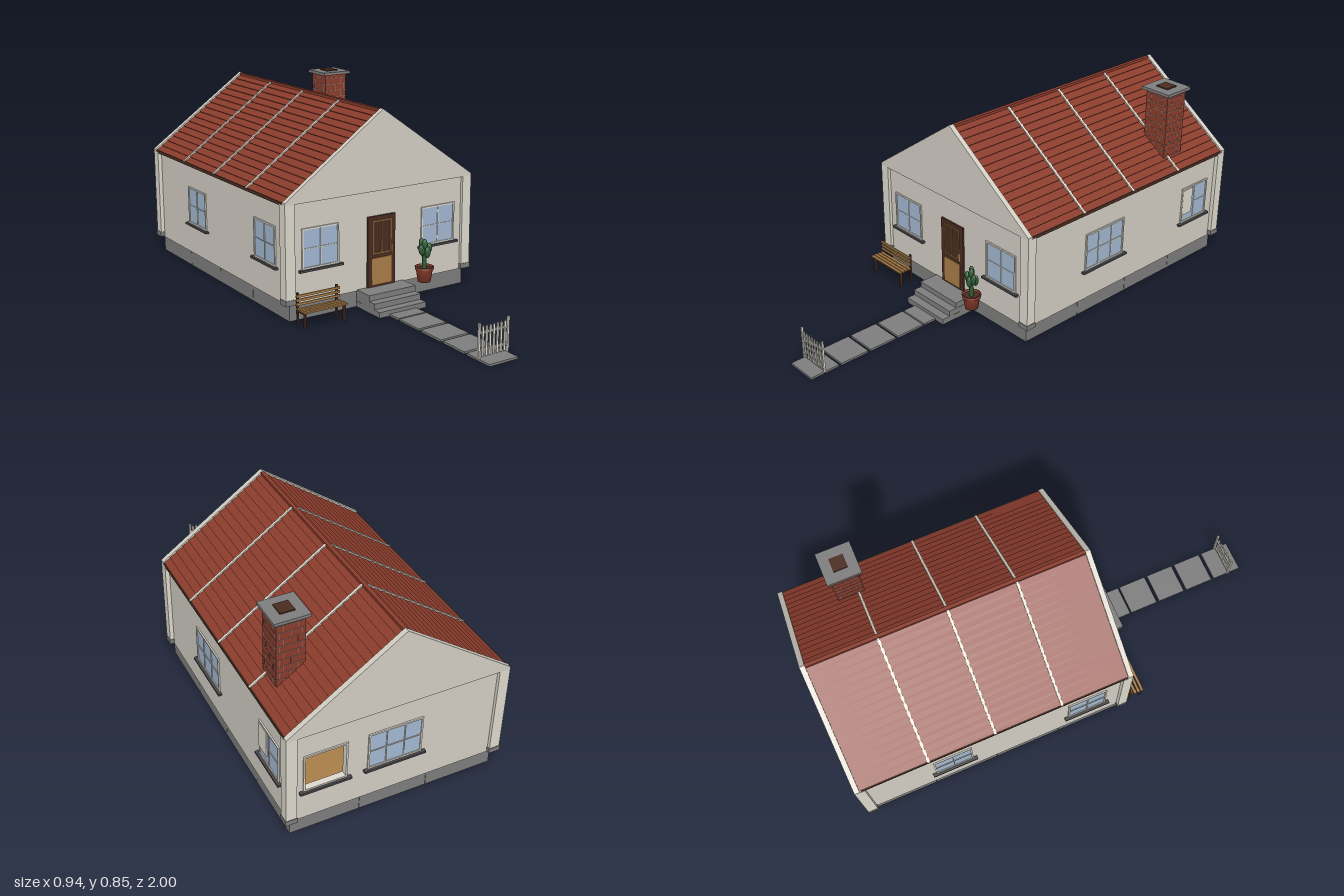
import * as THREE from 'three';

const material = (name, color, extra = {}) => Object.assign(new THREE.MeshStandardMaterial({ color, ...extra }), { name });
const M = {
  plaster: material('plaster', 0xd3cec4),
  white: material('white trim', 0xddd9cd),
  red: material('red clay', 0x8a3c2c),
  grey: material('grey stone', 0x7d7d7d),
  dark: material('dark slate', 0x47474a),
  brown: material('dark wood', 0x4a2c20),
  tan: material('light wood', 0xa87d48),
  glass: material('glass', 0xa3b8d2),
  green: material('cactus green', 0x2f5d35),
};
const ZC = -0.387; // centre of the house along z

function add(parent, name, geometry, mat, x = 0, y = 0, z = 0) {
  const m = new THREE.Mesh(geometry, mat);
  m.name = name;
  m.position.set(x, y, z);
  parent.add(m);
  return m;
}
// Box given by its min and max on every axis
function box(parent, name, mat, x0, x1, y0, y1, z0, z1) {
  return add(parent, name, new THREE.BoxGeometry(x1 - x0, y1 - y0, z1 - z0), mat,
    (x0 + x1) / 2, (y0 + y1) / 2, (z0 + z1) / 2);
}
function group(parent, name, x = 0, y = 0, z = 0) {
  const g = new THREE.Group();
  g.name = name;
  g.position.set(x, y, z);
  parent.add(g);
  return g;
}

// Window on the outer face z = 0 of a wall
function addWindow(parent, u0, u1, cols, open) {
  const g = group(parent, open ? 'openWindow' : 'window');
  const y0 = 0.21, y1 = 0.38, f = 0.007;
  for (const [a, b] of [[u0, u0 + f], [u1 - f, u1]]) box(g, 'frameSide', M.white, a, b, y0, y1, -0.02, 0.006);
  for (const [a, b] of [[y0, y0 + f], [y1 - f, y1]]) box(g, 'frameRail', M.white, u0, u1, a, b, -0.02, 0.006);
  box(g, 'sill', M.dark, u0 - 0.016, u1 + 0.016, y0 - 0.009, y0, -0.005, 0.016);
  if (open) return;
  box(g, 'pane', M.glass, u0 + f, u1 - f, y0 + f, y1 - f, -0.005, 0.002);
  for (let i = 1; i < cols; i++) {
    const u = u0 + (u1 - u0) * i / cols;
    box(g, 'mullion', M.white, u - 0.002, u + 0.002, y0 + f, y1 - f, 0, 0.005);
  }
  box(g, 'crossBar', M.white, u0 + f, u1 - f, 0.2935, 0.2965, 0, 0.005);
}

// Wall facing local +z, with windows as [from, to, columns, open]
function addWall(parent, name, half, x, z, turn, windows) {
  const g = group(parent, name, x, 0, z);
  g.rotation.y = turn;
  const s = new THREE.Shape([[-half, 0.07], [half, 0.07], [half, 0.49], [-half, 0.49]].map(p => new THREE.Vector2(...p)));
  for (const [a, b, , open] of windows) {
    if (open) s.holes.push(new THREE.Path([[a, 0.21], [a, 0.38], [b, 0.38], [b, 0.21]].map(p => new THREE.Vector2(...p))));
  }
  add(g, 'wallPanel', new THREE.ExtrudeGeometry(s, { depth: 0.018, bevelEnabled: false }), M.plaster, 0, 0, -0.018);
  for (const w of windows) addWindow(g, ...w);
  return g;
}

function addDoor(parent) {
  const g = group(parent, 'frontDoor', 0, 0, 0.21);
  box(g, 'doorLeaf', M.brown, -0.069, 0.069, 0.075, 0.38, -0.01, 0.008);
  box(g, 'lowerPanel', M.tan, -0.049, 0.049, 0.085, 0.2, 0.006, 0.011);
  for (const x of [-0.044, 0, 0.044]) box(g, 'panelStile', M.tan, x - 0.002, x + 0.002, 0.22, 0.36, 0.006, 0.012);
  for (const y of [0.221, 0.359]) box(g, 'panelRail', M.tan, -0.046, 0.046, y - 0.002, y + 0.002, 0.006, 0.012);
  box(g, 'handle', M.tan, 0.044, 0.052, 0.215, 0.252, 0.006, 0.018);
}

function addRoof(parent) {
  const g = group(parent, 'roof');
  const W = 0.46, top = 0.815, eave = 0.49, n = 16;
  const tilt = Math.atan2(top - eave, W), nx = Math.sin(tilt), ny = Math.cos(tilt);
  // Stepped tile courses from ridge to eave
  const right = [];
  for (let i = 0; i < n; i++) {
    for (const [t, lift] of [[i / n, 0], [(i + 1) / n, 0.004]]) {
      right.push(new THREE.Vector2(W * t + nx * lift, top + (eave - top) * t + ny * lift));
    }
  }
  right.push(new THREE.Vector2(W, 0.484));
  const left = right.slice(1).map(p => new THREE.Vector2(-p.x, p.y));
  const shape = new THREE.Shape([...left.reverse(), ...right]);
  add(g, 'tiles', new THREE.ExtrudeGeometry(shape, { depth: 1.18, bevelEnabled: false }), M.red, 0, 0, -0.977);
  box(g, 'ridgeCap', M.red, -0.008, 0.008, 0.805, 0.822, -0.977, 0.203);
  const len = Math.hypot(W, top - eave);
  for (const s of [-1, 1]) {
    box(g, 'eaveBoard', M.brown, s * 0.454 - 0.009, s * 0.454 + 0.009, 0.482, 0.496, -0.97, 0.2);
    for (const z of [-0.095, -0.39, -0.68]) {
      const strip = add(g, 'roofStrip', new THREE.BoxGeometry(len, 0.008, 0.011), M.white,
        s * (W / 2 + nx * 0.003), (top + eave) / 2 + ny * 0.003, z);
      strip.rotation.z = -s * tilt;
    }
  }
  // Gable plates standing just above the tiles
  const gable = new THREE.Shape([[-0.465, 0.488], [0.465, 0.488], [0.465, 0.498], [0, 0.825], [-0.465, 0.498]]
    .map(p => new THREE.Vector2(...p)));
  for (const z of [0.202, -0.998]) {
    add(g, 'gable', new THREE.ExtrudeGeometry(gable, { depth: 0.022, bevelEnabled: false }), M.plaster, 0, 0, z);
  }
}

function addChimney(parent) {
  const g = group(parent, 'chimney', 0.337, 0, -0.712), h = 0.058;
  box(g, 'stack', M.red, -h, h, 0.5, 0.827, -h, h);
  const e = h + 0.001;
  for (let i = 0; i < 11; i++) {
    const y = 0.51 + i * 0.03;
    box(g, 'mortarCourse', M.grey, -e, e, y - 0.001, y + 0.001, -e, e);
    if (i === 10) break;
    // Staggered upright joints, running through to opposite faces
    for (const u of i % 2 ? [-0.029, 0.029] : [-0.044, 0, 0.044]) {
      box(g, 'mortarJoint', M.grey, u - 0.0007, u + 0.0007, y, y + 0.03, -e + 0.0005, e - 0.0005);
      box(g, 'mortarJoint', M.grey, -e + 0.0005, e - 0.0005, y, y + 0.03, u - 0.0007, u + 0.0007);
    }
  }
  box(g, 'cap', M.grey, -0.073, 0.073, 0.827, 0.84, -0.073, 0.073);
  box(g, 'flue', M.brown, -0.03, 0.03, 0.838, 0.845, -0.03, 0.03);
}

function addBench(parent) {
  const g = group(parent, 'bench', -0.338, 0, 0.285);
  for (const x of [-0.092, 0.092]) {
    box(g, 'frontLeg', M.brown, x - 0.004, x + 0.004, 0, 0.067, 0.018, 0.03);
    box(g, 'backLeg', M.brown, x - 0.004, x + 0.004, 0, 0.136, -0.036, -0.028);
    box(g, 'seatBearer', M.brown, x - 0.004, x + 0.004, 0.058, 0.067, -0.03, 0.03);
  }
  for (let i = 0; i < 4; i++) {
    const z = -0.02 + i * 0.0165;
    box(g, 'seatSlat', M.tan, -0.103, 0.103, 0.067, 0.073, z - 0.006, z + 0.006);
    if (i < 3) box(g, 'backSlat', M.tan, -0.103, 0.103, 0.084 + i * 0.017, 0.094 + i * 0.017, -0.028, -0.022);
  }
}

function addPlant(parent) {
  const g = group(parent, 'pottedCactus', 0.183, 0, 0.272);
  const profile = [[0, 0.075], [0.028, 0.075], [0.036, 0.128], [0.04, 0.128], [0.041, 0.14], [0.035, 0.14], [0.033, 0.13]];
  add(g, 'pot', new THREE.LatheGeometry(profile.map(p => new THREE.Vector2(...p)), 16), M.red);
  add(g, 'soil', new THREE.CylinderGeometry(0.034, 0.034, 0.004, 16), M.brown, 0, 0.131, 0);
  add(g, 'stem', new THREE.CylinderGeometry(0.009, 0.01, 0.09, 8), M.green, 0, 0.176, 0);
  const pads = [[0, 0.235, 0, 0], [-0.019, 0.215, 0.004, 0.2], [0.019, 0.218, 0.006, -0.2], [0.004, 0.205, 0.016, 0],
    [-0.008, 0.24, -0.01, 0.15], [0.008, 0.2, -0.017, -0.1]];
  for (const [x, y, z, tilt] of pads) {
    const pad = add(g, 'cactusPad', new THREE.SphereGeometry(0.025, 10, 8), M.green, x, y, z);
    pad.scale.set(0.52, 1, 0.45);
    pad.rotation.z = tilt;
  }
}

function addGate(parent) {
  const g = group(parent, 'gardenGate', 0, 0, 0.938);
  for (const x of [-0.069, 0.069]) box(g, 'gatePost', M.white, x - 0.004, x + 0.004, 0.008, 0.149, -0.004, 0.004);
  for (const y of [0.04, 0.108]) box(g, 'gateRail', M.white, -0.069, 0.069, y - 0.005, y + 0.005, -0.005, 0);
  const picket = new THREE.ExtrudeGeometry(new THREE.Shape([[-0.0045, 0.016], [0.0045, 0.016], [0.0045, 0.13], [0, 0.138], [-0.0045, 0.13]]
    .map(p => new THREE.Vector2(...p))), { depth: 0.004, bevelEnabled: false });
  for (let i = -3; i <= 3; i++) add(g, 'picket', picket, M.white, i * 0.0175, 0, 0);
}

export function createModel() {
  const model = new THREE.Group();
  model.name = 'cottage';

  // Foundation blocks, floor and ceiling
  const base = group(model, 'foundation');
  const xs = [-0.44, -0.146, 0.146, 0.44], zs = [-0.975, -0.68, -0.39, -0.095, 0.205];
  for (let i = 0; i < 3; i++) for (let j = 0; j < 4; j++) {
    box(base, 'foundationBlock', M.grey, xs[i] + 0.0008, xs[i + 1] - 0.0008, 0, 0.075, zs[j] + 0.0008, zs[j + 1] - 0.0008);
  }
  box(model, 'floor', M.tan, -0.43, 0.43, 0.07, 0.079, -0.965, 0.195);
  box(model, 'ceiling', M.plaster, -0.43, 0.43, 0.476, 0.483, -0.965, 0.195);

  // Walls; u runs to the right as seen from outside
  const house = group(model, 'walls');
  addWall(house, 'frontWall', 0.445, 0, 0.21, 0, [[-0.383, -0.208, 2], [0.208, 0.383, 2]]);
  addWall(house, 'backWall', 0.445, 0, -0.983, Math.PI, [[-0.39, -0.21, 2, true], [-0.125, 0.105, 3]]);
  addWall(house, 'sideWall', 0.596, 0.447, ZC, Math.PI / 2, [[-0.265, -0.035, 3], [0.35, 0.52, 2]]);
  addWall(house, 'sideWall', 0.596, -0.447, ZC, -Math.PI / 2, [[-0.28, -0.11, 2], [0.33, 0.505, 2]]);
  box(house, 'wallCabinet', M.white, 0.37, 0.454, 0.25, 0.37, -0.805, -0.74);

  // Corner pilasters on stone feet
  for (const x of [-1, 1]) for (const z of [-1, 1]) {
    const c = group(house, 'cornerPilaster', x * 0.4425, 0, ZC + z * 0.589);
    box(c, 'shaft', M.white, -0.0225, 0.0225, 0.09, 0.488, -0.0215, 0.0215);
    box(c, 'foot', M.grey, -0.025, 0.025, 0.074, 0.096, -0.024, 0.024);
  }
  addDoor(model);
  addRoof(model);
  addChimney(model);

  // Front steps and garden path
  const steps = group(model, 'frontSteps');
  [[0.075, 0.3], [0.05, 0.337], [0.025, 0.374]].forEach(([h, z], i) =>
    box(steps, 'step', M.grey, -0.117, 0.117, h - 0.0245, h, 0.203, z));
  const path = group(model, 'gardenPath');
  for (const [a, b] of [[0.374, 0.435], [0.442, 0.572], [0.585, 0.712], [0.725, 0.855], [0.868, 1]]) {
    box(path, 'pathSlab', M.grey, -0.068, 0.068, 0, 0.009, a, b);
  }
  addGate(model);
  addBench(model);
  addPlant(model);
  return model;
}
